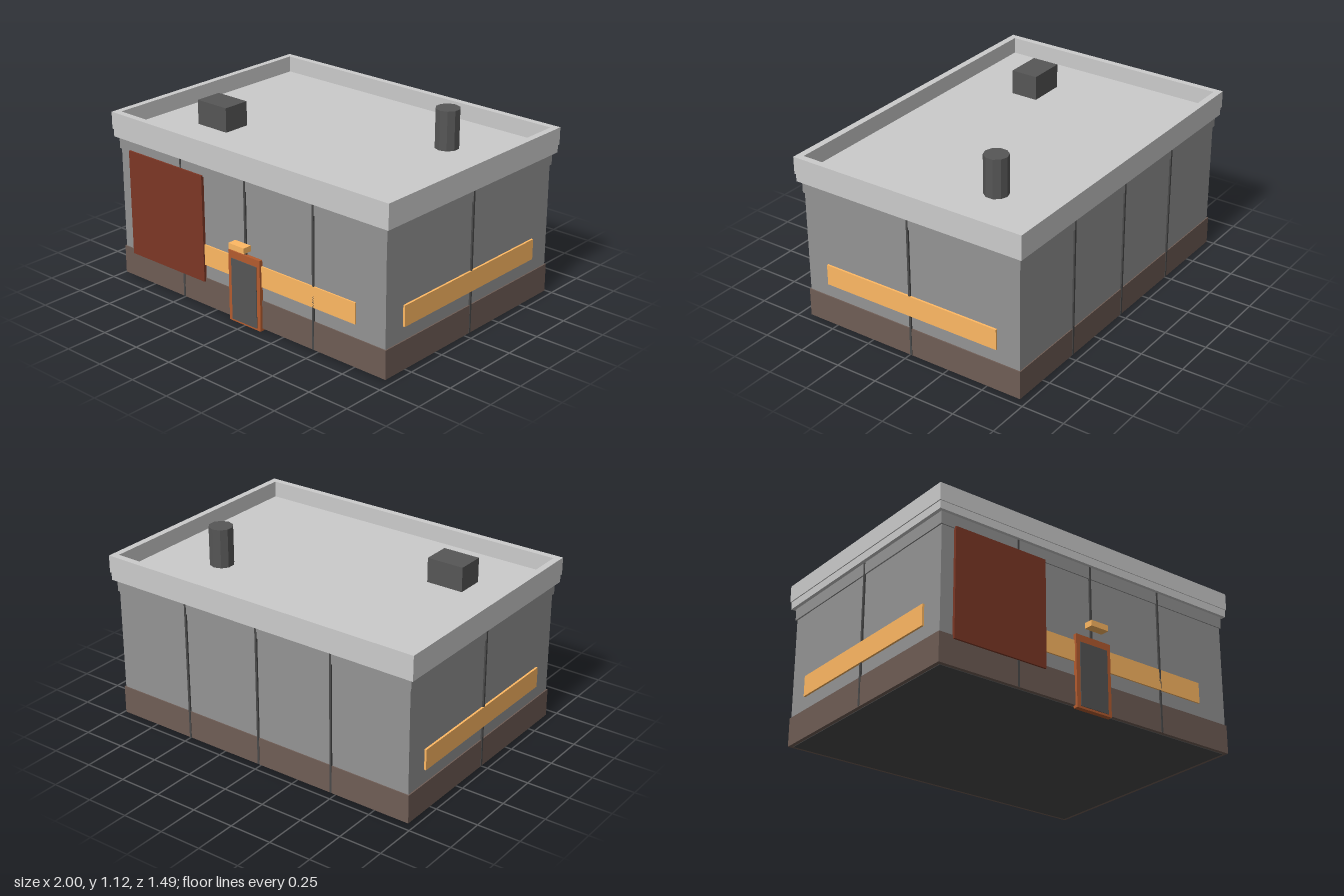
import * as THREE from 'three';

const material = (color) => new THREE.MeshStandardMaterial({ color, flatShading: true });
const MAT = {
  parapet: material(0xcccccc),
  wall: material(0x949494),
  plinth: material(0x6f5d55),
  stripe: material(0xffb963),
  sign: material(0x7d3725),
  frame: material(0xb55c2f),
  dark: material(0x565656),
  seam: material(0x4a4a4a),
};
const ZC = -0.022; // the building sits slightly behind centre

export function createModel() {
  const group = new THREE.Group();

  // Box given by its limits on each axis
  const box = (name, mat, [x0, x1], [y0, y1], [z0, z1]) => {
    const mesh = new THREE.Mesh(new THREE.BoxGeometry(x1 - x0, y1 - y0, z1 - z0), mat);
    mesh.position.set((x0 + x1) / 2, (y0 + y1) / 2, (z0 + z1) / 2);
    mesh.name = name;
    group.add(mesh);
    return mesh;
  };
  // Box centred on the building's plan, from half sizes
  const block = (name, mat, hx, hz, y) => box(name, mat, [-hx, hx], y, [ZC - hz, ZC + hz]);

  // Main body
  block('walls', MAT.wall, 0.965, 0.69, [0.03, 0.86]);
  block('plinth', MAT.plinth, 0.972, 0.696, [0.015, 0.18]);
  block('topBand', MAT.wall, 0.973, 0.697, [0.775, 0.85]);
  block('floor', MAT.seam, 0.95, 0.675, [0.012, 0.03]);

  // Roof slab and the parapet ring around it
  block('roofSlab', MAT.parapet, 0.994, 0.717, [0.845, 0.895]);
  const rect = (S, hx, hz) => new S([[-hx, -hz], [hx, -hz], [hx, hz], [-hx, hz]]
    .map(([x, y]) => new THREE.Vector2(x, y)));
  const ring = rect(THREE.Shape, 1, 0.722);
  ring.holes.push(rect(THREE.Path, 0.962, 0.683));
  const parapet = new THREE.Mesh(
    new THREE.ExtrudeGeometry(ring, { depth: 0.1, bevelEnabled: false }).rotateX(-Math.PI / 2),
    MAT.parapet);
  parapet.position.set(0, 0.89, ZC);
  parapet.name = 'parapet';
  group.add(parapet);

  // Panel seams on all four sides
  for (const x of [-0.483, 0, 0.483])
    block('panelSeam', MAT.seam, 0.006, 0.699, [0.017, 0.847]).position.x = x;
  block('sideSeam', MAT.seam, 0.975, 0.006, [0.017, 0.847]);

  // Coloured stripes on the front and both sides
  box('frontStripe', MAT.stripe, [-0.77, 0.77], [0.26, 0.38], [0.65, 0.677]);
  for (const s of [-1, 1])
    box('sideStripe', MAT.stripe, [s * 0.967 - 0.01, s * 0.967 + 0.01], [0.26, 0.38], [-0.573, 0.533]);

  // Sign panel, door and lamp on the front
  box('signPanel', MAT.sign, [-0.888, -0.312], [0.16, 0.783], [0.66, 0.685]);
  box('doorFrame', MAT.frame, [-0.116, 0.116], [0, 0.415], [0.66, 0.689]);
  box('door', MAT.dark, [-0.092, 0.092], [0.012, 0.373], [0.66, 0.693]);
  box('doorLamp', MAT.stripe, [-0.057, 0.057], [0.456, 0.489], [0.692, 0.745]);

  // Rooftop equipment
  box('roofUnit', MAT.dark, [-0.69, -0.47], [0.89, 1.037], [0.172, 0.335]);
  const chimney = new THREE.Mesh(new THREE.CylinderGeometry(0.069, 0.069, 0.23, 10), MAT.dark);
  chimney.position.set(0.577, 1.005, -0.297);
  chimney.name = 'chimney';
  group.add(chimney);

  return group;
}
